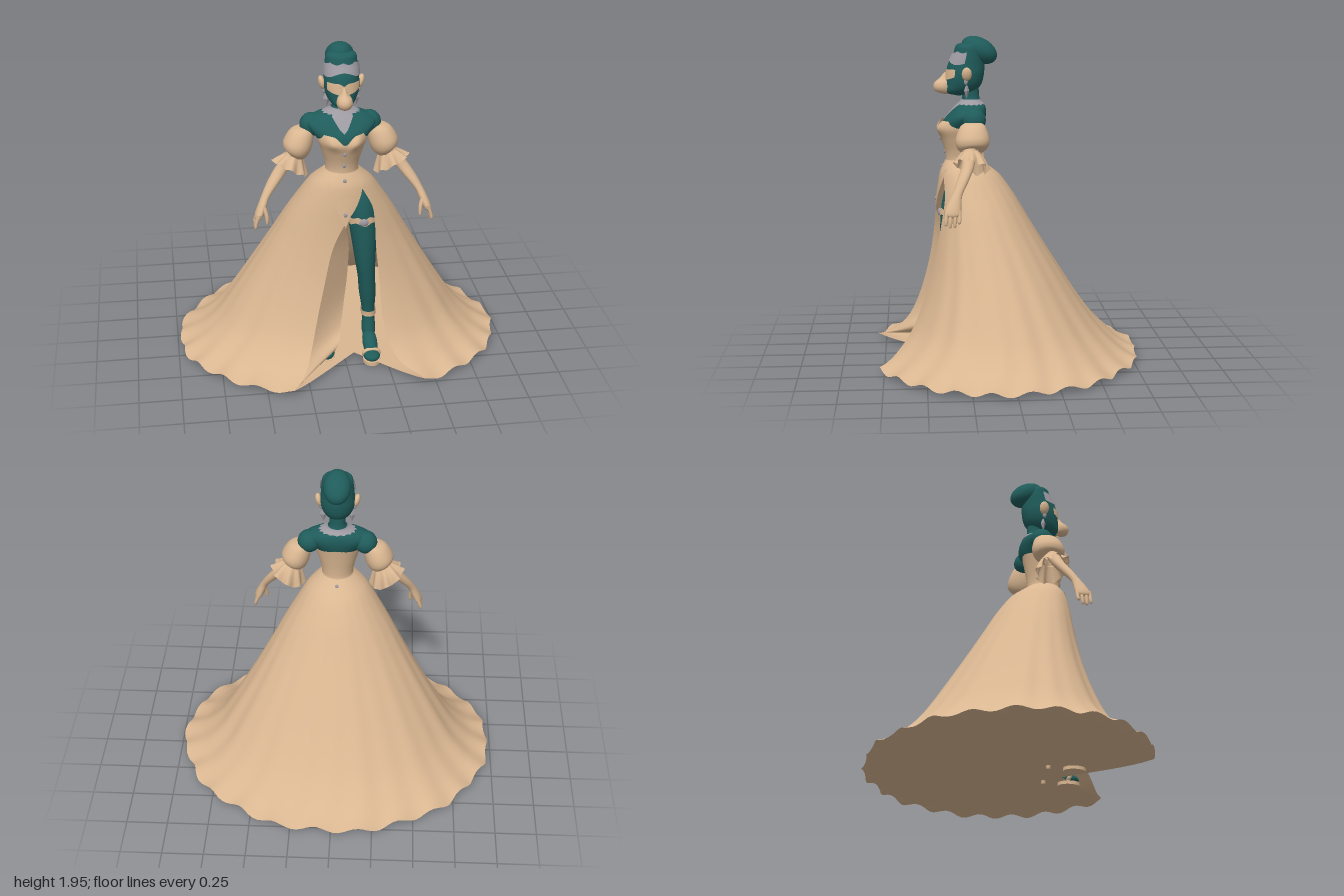
import * as THREE from 'three';
import { mergeVertices } from 'three/addons/utils/BufferGeometryUtils.js';

const mat = (name, color) => {
  const m = new THREE.MeshStandardMaterial({ color, side: THREE.DoubleSide });
  m.name = name;
  return m;
};

// Smooth value of a table of rows at row index k
function at(rows, k) {
  const n = rows.length - 1;
  const i = Math.min(Math.floor(k), n - 1), f = k - i;
  const r = j => rows[Math.max(0, Math.min(n, j))];
  return rows[0].map((_, c) => {
    const a = r(i - 1)[c], b = r(i)[c], d = r(i + 1)[c], e = r(i + 2)[c];
    return b + 0.5 * f * (d - a + f * (2 * a - 5 * b + 4 * d - e + f * (3 * (b - d) + e - a)));
  });
}

// Sheet from a rule: u runs left to right and v top to bottom, seen from outside
function surface(rule, nu, nv) {
  const g = new THREE.PlaneGeometry(1, 1, nu, nv), p = g.attributes.position;
  for (let j = 0, n = 0; j <= nv; j++)
    for (let i = 0; i <= nu; i++, n++) p.setXYZ(n, ...rule(i / nu, j / nv));
  g.deleteAttribute('uv');
  g.deleteAttribute('normal');
  const out = mergeVertices(g, 1e-5);
  out.computeVertexNormals();
  return out;
}

// Oval sections, rows of [y, centre x, back z, front z, half width];
// from/to pick a stretch of rows per angle, grow lifts a band off the form
function loft(rows, { from = () => 0, to = () => rows.length - 1, t0 = -Math.PI, t1 = Math.PI,
  grow = 0, nu = 28, nv = 20, bend = p => p } = {}) {
  return surface((u, v) => {
    let t = t0 + (t1 - t0) * u;
    if (u === 1 && t1 - t0 > 6.28) t = t0;
    const a = from(t), [y, cx, zb, zf, rx] = at(rows, a + (to(t) - a) * v);
    return bend([cx + (rx + grow) * Math.sin(t), y, (zb + zf) / 2 + ((zf - zb) / 2 + grow) * Math.cos(t)], t, v, cx);
  }, nu, nv);
}

// Skirt: rows of [y, half width, back z, front z, slit edge x, slit edge x]
const skirtRows = [
  [1.21, 0.098, 0.165, 0.37, 0.06, 0.06], [1.16, 0.155, 0.1, 0.397, 0.09, 0.09],
  [1.11, 0.2, 0.04, 0.412, 0.105, 0.108], [1.0, 0.27, -0.04, 0.426, 0.06, 0.165],
  [0.9, 0.33, -0.1, 0.434, -0.01, 0.18], [0.75, 0.412, -0.19, 0.452, -0.08, 0.185],
  [0.55, 0.525, -0.315, 0.49, -0.13, 0.2], [0.35, 0.645, -0.445, 0.55, -0.18, 0.21],
  [0.2, 0.745, -0.56, 0.62, -0.22, 0.24], [0.1, 0.845, -0.665, 0.71, -0.26, 0.3],
  [0.05, 0.925, -0.74, 0.79, -0.31, 0.38], [0.025, 0.982, -0.8, 0.855, -0.35, 0.43]];
function skirtPoint(u, v) {
  const [y, w, zb, zf, xl, xr] = at(skirtRows, v * (skirtRows.length - 1));
  const a = Math.asin(xr / w), b = Math.PI * 2 + Math.asin(xl / w);
  const t = a + (b - a) * u, c = zb + 0.53 * (zf - zb);
  // Gathers are deep towards the front and shallow behind
  const fold = Math.sin(Math.PI * u) ** 0.5 * v, front = 0.5 + 0.5 * Math.cos(t);
  const k = 1 + fold * (0.01 * Math.cos(24 * t) + 0.009 * Math.cos(11 * t + 1)
    + 0.02 * front * Math.cos(17 * t + 0.6) * Math.sin(Math.PI * v ** 1.5));
  const lift = 0.014 * v ** 6 * Math.cos(24 * t + 2);
  return [w * k * Math.sin(t), y + lift, c + (Math.cos(t) > 0 ? zf - c : c - zb) * k * Math.cos(t)];
}

// Inner edge of the fold that tucks in between the legs: rows of [x, y, z]
const foldRows = [[-0.005, 0.9, 0.432], [0.03, 0.75, 0.36], [0.025, 0.55, 0.34], [0.0, 0.37, 0.37],
  [-0.03, 0.24, 0.45], [-0.05, 0.18, 0.53], [-0.1, 0.13, 0.57], [-0.18, 0.08, 0.6]];

export function createModel() {
  const root = new THREE.Group();
  root.name = 'gownedFigure';
  const tan = mat('tan cloth', 0xd9b691);
  const teal = mat('deep teal', 0x1f5c5b);
  const grey = mat('silver grey', 0x9e9aa2);
  const add = (name, geo, m, pos = [0, 0, 0], scale = [1, 1, 1], rot = [0, 0, 0]) => {
    const mesh = new THREE.Mesh(geo, m);
    mesh.name = name;
    mesh.position.set(...pos);
    mesh.scale.set(...scale);
    mesh.rotation.set(...rot);
    root.add(mesh);
  };
  const ball = new THREE.SphereGeometry(1, 20, 14);

  // Skirt, the fold at its slit, and the underside
  add('skirt', surface(skirtPoint, 168, 44), tan);
  add('slitFold', surface((u, v) => {
    const a = skirtPoint(1, (4 + 7 * v) / 11), b = at(foldRows, 7 * v);
    return a.map((q, i) => q + (b[i] - q) * u);
  }, 8, 28), tan);
  add('skirtUnderside', surface((u, v) => {
    const [x, y, z] = skirtPoint(u, 1);
    return [x + (0.06 - x) * v, y + (0.02 - y) * (1 - (1 - v) ** 6), z + (0.39 - z) * v];
  }, 168, 8), tan);

  // Pointed front of the bodice
  add('bodicePoint', surface((u, v) => {
    const x = (u - 0.5) * 0.23 * (1 - v);
    return [x, 1.16 - 0.27 * v, 0.392 + 0.05 * v ** 0.6 - 2.2 * x * x];
  }, 10, 10), tan);

  // Neck, chest and shoulders
  const chest = [
    [1.67, 0, 0.17, 0.28, 0.05], [1.58, 0, 0.165, 0.27, 0.05], [1.55, 0, 0.145, 0.29, 0.09],
    [1.53, 0, 0.13, 0.31, 0.16], [1.49, 0, 0.125, 0.345, 0.205], [1.44, 0, 0.135, 0.385, 0.175],
    [1.38, 0, 0.16, 0.395, 0.125], [1.32, 0, 0.175, 0.37, 0.1]];
  add('chest', loft(chest, { nu: 36, nv: 28 }), teal);
  add('necklace', loft(chest, {
    from: () => 1.1, grow: 0.006, nu: 60, nv: 10,
    to: t => 2.2 + 2.4 * Math.exp(-((t / 0.32) ** 2)) + 0.12 * Math.cos(16 * t)
  }), grey);

  // Bodice with a heart-shaped neckline and shaped bust
  const bodice = [
    [1.45, 0, 0.135, 0.395, 0.15], [1.4, 0, 0.145, 0.418, 0.145], [1.34, 0, 0.155, 0.4, 0.125],
    [1.26, 0, 0.165, 0.375, 0.102], [1.2, 0, 0.163, 0.37, 0.1], [1.15, 0, 0.13, 0.38, 0.14]];
  add('bodice', loft(bodice, {
    nu: 64, nv: 28,
    from: t => 1.0 * Math.exp(-((t / 0.3) ** 2)) + 0.4 * Math.max(0, -Math.cos(t)) + 0.2 * Math.exp(-(((Math.abs(t) - 1.2) / 0.3) ** 2)),
    bend: ([x, y, z], t, v) =>
      [x, y, z + 0.022 * Math.exp(-(((Math.abs(t) - 0.55) / 0.3) ** 2) - ((v - 0.15) / 0.17) ** 2)]
  }), tan);
  for (const [y, z] of [[1.34, 0.402], [1.26, 0.376], [1.17, 0.394], [0.97, 0.434]])
    add('button', ball, grey, [0, y, z], [0.011, 0.013, 0.006]);
  add('backButton', ball, grey, [0, 1.18, 0.13], [0.011, 0.013, 0.01]);

  // Head, eye mask, muzzle, tiara and hair
  const head = [
    [1.915, 0, 0.22, 0.23, 0.005], [1.9, 0, 0.17, 0.3, 0.08], [1.85, 0, 0.145, 0.32, 0.094],
    [1.78, 0, 0.135, 0.355, 0.1], [1.72, 0, 0.138, 0.365, 0.104], [1.66, 0, 0.155, 0.37, 0.09],
    [1.615, 0, 0.2, 0.37, 0.058], [1.595, 0, 0.28, 0.3, 0.005]];
  add('head', loft(head, { nv: 28 }), teal);
  add('eyeMask', loft(head, {
    t0: -1.0, t1: 1.0, grow: 0.005, nv: 6,
    from: t => 3.4 + 0.25 * Math.exp(-((t / 0.15) ** 2)), to: t => 4.5 - 0.35 * t * t
  }), tan);
  add('muzzle', loft([
    [1.735, 0, 0.33, 0.375, 0.01], [1.7, 0, 0.33, 0.405, 0.022], [1.675, 0, 0.33, 0.435, 0.041],
    [1.645, 0, 0.33, 0.442, 0.046], [1.618, 0, 0.33, 0.425, 0.033], [1.605, 0, 0.35, 0.38, 0.004]]), tan);
  add('tiara', loft(head, {
    t0: -1.45, t1: 1.45, grow: 0.008, nu: 56, nv: 6,
    from: t => 1.75 + 0.2 * Math.abs(Math.sin(4 * t)), to: t => 2.75 - 0.2 * Math.cos(3 * t)
  }), grey);
  add('bun', ball, teal, [0, 1.867, 0.165], [0.083, 0.073, 0.115], [-0.5, 0, 0]);

  for (const s of [1, -1]) {
    const side = rows => rows.map(([y, x, ...r]) => [y, s * x, ...r]);
    add('ear', ball, tan, [s * 0.112, 1.73, 0.245], [0.02, 0.042, 0.03], [0, 0, -s * 0.25]);
    add('earring', new THREE.OctahedronGeometry(1), grey, [s * 0.085, 1.63, 0.245], [0.022, 0.05, 0.016]);
    add('earringStud', ball, grey, [s * 0.1, 1.685, 0.25], [0.012, 0.02, 0.012]);
    add('shoulder', ball, teal, [s * 0.17, 1.463, 0.205], [0.07, 0.07, 0.07]);

    // Puffed sleeve with a pleated ruffle
    add('puffSleeve', loft(side([
      [1.455, 0.205, 0.17, 0.25, 0.02], [1.43, 0.225, 0.14, 0.29, 0.065], [1.36, 0.25, 0.118, 0.318, 0.083],
      [1.31, 0.265, 0.13, 0.31, 0.072], [1.28, 0.28, 0.18, 0.275, 0.04]]),
    { bend: ([x, y, z], t, v) => [x, y + 0.035 * Math.sin(t) * s * v, z] }), tan);
    add('sleeveRuffle', loft(side([
      [1.3, 0.275, 0.185, 0.275, 0.045], [1.25, 0.29, 0.15, 0.3, 0.075], [1.2, 0.302, 0.13, 0.325, 0.098]]), {
      nu: 64, nv: 8,
      bend: ([x, y, z], t, v, cx) => {
        const k = 1 + 0.11 * v * Math.cos(8 * t);
        return [cx + (x - cx) * k, y + v * (0.05 * Math.sin(t) * s + 0.02 * Math.cos(t) + 0.01 * Math.cos(8 * t)), 0.23 + (z - 0.23) * k];
      }
    }), tan);

    // Forearm, palm and fingers
    add('forearm', loft(side([
      [1.32, 0.27, 0.195, 0.275, 0.042], [1.22, 0.345, 0.21, 0.285, 0.043], [1.14, 0.405, 0.245, 0.315, 0.037],
      [1.07, 0.453, 0.283, 0.342, 0.026], [1.03, 0.472, 0.292, 0.365, 0.026], [0.98, 0.492, 0.295, 0.388, 0.027],
      [0.95, 0.503, 0.3, 0.388, 0.021], [0.935, 0.507, 0.34, 0.35, 0.004]])), tan);
    for (const [z, tip] of [[0.305, 0.9], [0.331, 0.88], [0.357, 0.878], [0.382, 0.89]])
      add('finger', loft(side([
        [0.98, 0.497, z - 0.011, z + 0.011, 0.012], [0.93, 0.515, z - 0.011, z + 0.011, 0.011],
        [tip + 0.01, 0.521, z - 0.007, z + 0.011, 0.009], [tip, 0.52, z, z + 0.002, 0.001]]), { nu: 8, nv: 8 }), tan);
    add('thumb', loft(side([
      [1.02, 0.47, 0.34, 0.37, 0.014], [0.97, 0.455, 0.36, 0.385, 0.012],
      [0.925, 0.453, 0.37, 0.388, 0.009], [0.915, 0.453, 0.378, 0.38, 0.001]]), { nu: 8, nv: 8 }), tan);

    // Legs, the right one a little behind
    const dz = s > 0 ? 0 : -0.06, dx = s > 0 ? 0 : -0.045;
    const leg = [
      [1.13, 0.09, 0.22, 0.33, 0.05], [1.05, 0.1, 0.2, 0.375, 0.08], [0.95, 0.112, 0.2, 0.4, 0.086],
      [0.8, 0.125, 0.22, 0.41, 0.078], [0.62, 0.135, 0.245, 0.405, 0.061], [0.5, 0.145, 0.245, 0.39, 0.052],
      [0.4, 0.153, 0.23, 0.375, 0.051], [0.25, 0.16, 0.26, 0.35, 0.037], [0.14, 0.16, 0.27, 0.37, 0.042],
      [0.08, 0.16, 0.31, 0.37, 0.02]].map(([y, x, b, f, r]) => [y, s * (x + dx * (1.14 - y)), b + dz, f + dz, r]);
    add('leg', loft(leg, { nu: 20, nv: 32 }), teal);
    add('garter', loft(leg, {
      grow: 0.008, nu: 40, nv: 4,
      from: t => 2.17 + 0.05 * Math.cos(8 * t), to: t => 2.45 + 0.06 * Math.cos(6 * t)
    }), tan);
    add('garterJewel', ball, grey, [leg[2][1], 0.905, 0.412 + dz], [0.028, 0.024, 0.012]);
    add('anklet', loft(leg, { grow: 0.008, nu: 20, nv: 4, from: () => 6.8, to: () => 7.05 }), tan);

    // High-heeled shoe
    const fx = s * (0.158 + dx);
    add('foot', ball, teal, [fx, 0.09, 0.395 + dz], [0.045, 0.042, 0.105], [0.5, 0, 0]);
    add('toes', ball, teal, [fx, 0.04, 0.468 + dz], [0.05, 0.03, 0.06]);
    add('frontSole', new THREE.CylinderGeometry(1, 1, 1, 20), tan, [fx, 0.011, 0.465 + dz], [0.053, 0.022, 0.068]);
    add('archSole', new THREE.BoxGeometry(0.07, 0.012, 0.15), tan, [fx, 0.06, 0.365 + dz], [1, 1, 1], [0.5, 0, 0]);
    add('heel', new THREE.CylinderGeometry(0.028, 0.012, 0.1, 12), tan, [fx, 0.05, 0.305 + dz]);
    add('toeStrap', new THREE.TorusGeometry(0.045, 0.008, 8, 20), tan, [fx, 0.048, 0.455 + dz], [1.1, 0.8, 1.6], [0.3, 0, 0]);
  }
  return root;
}
